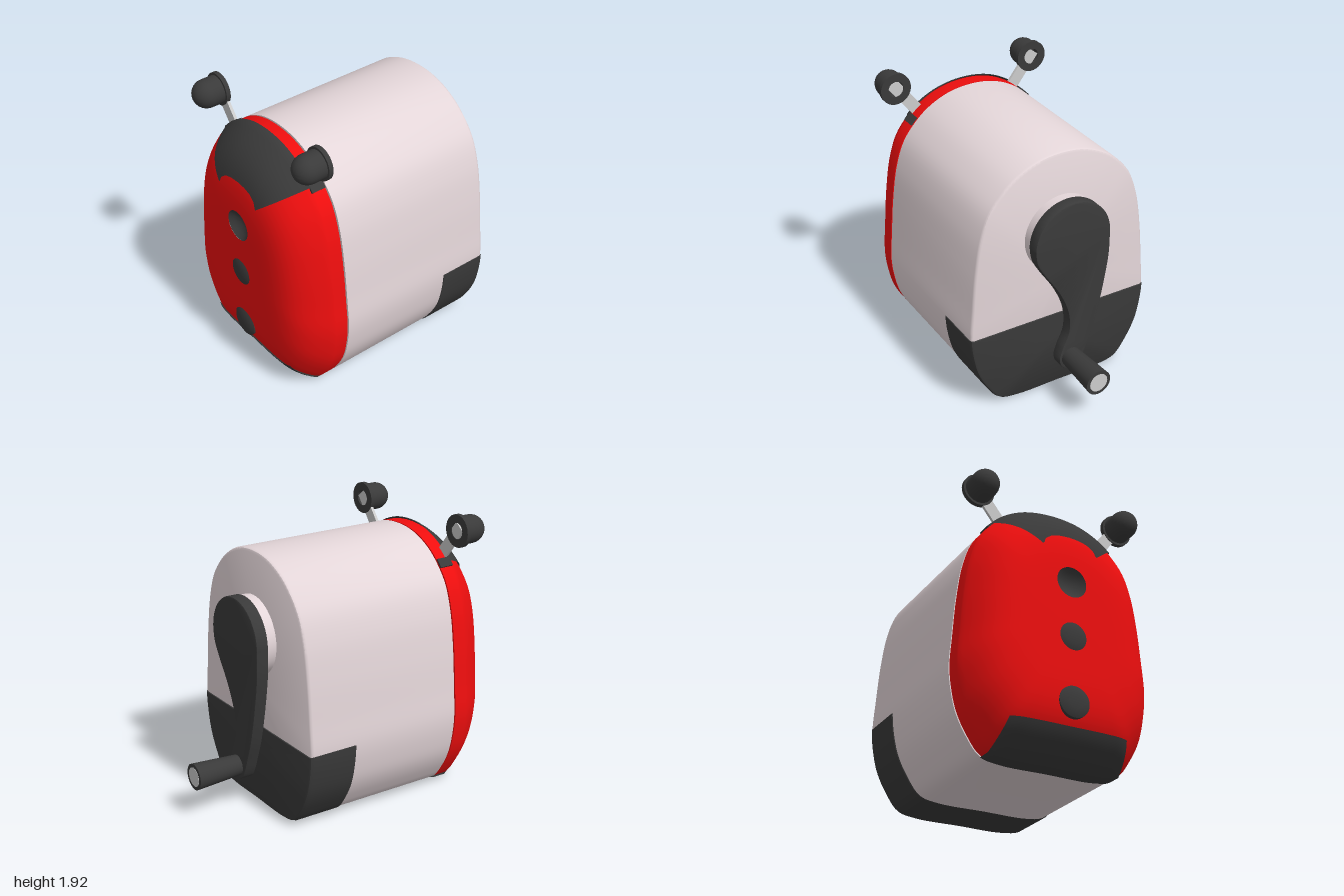
import * as THREE from 'three';
import { toCreasedNormals } from 'three/addons/utils/BufferGeometryUtils.js';

const V2 = (x, y) => new THREE.Vector2(x, y);
const mat = (color) => new THREE.MeshStandardMaterial({ color, side: THREE.DoubleSide });
const RED = mat(0xee0e0e), DARK = mat(0x3a3a3a), SHELL = mat(0xe4d6d9), GREY = mat(0xcccccc);
const CY = 0.85, HOLE = V2(0, 1.155), HOLE_R = 0.105;

// Egg-like outline shared by the body and the front, counter-clockwise from the bottom
const half = [[0.33, 0.006], [0.46, 0.035], [0.55, 0.145], [0.62, 0.28], [0.655, 0.42], [0.67, 0.57],
  [0.655, 0.78], [0.63, 1.05], [0.59, 1.29], [0.53, 1.46], [0.45, 1.568], [0.34, 1.665], [0.18, 1.74]];
const ring3 = [[0, 0.004], ...half, [0, 1.764], ...half.map(([x, y]) => [-x, y]).reverse()]
  .map(([x, y]) => new THREE.Vector3(x, y, 0));
const outline = new THREE.CatmullRomCurve3(ring3, true).getSpacedPoints(160).slice(0, 160).map((p) => V2(p.x, p.y));

// Surface from a rule: fn(column, row) gives a point
function grid(cols, rows, fn, crease = 0.7) {
  const pos = [], idx = [];
  for (let j = 0; j <= rows; j++) for (let i = 0; i <= cols; i++) pos.push(...fn(i, j));
  for (let j = 0; j < rows; j++) for (let i = 0; i < cols; i++) {
    const a = j * (cols + 1) + i, b = a + 1, c = a + cols + 1, d = c + 1;
    idx.push(a, b, d, a, d, c);
  }
  const g = new THREE.BufferGeometry();
  g.setAttribute('position', new THREE.Float32BufferAttribute(pos, 3));
  g.setIndex(idx);
  return toCreasedNormals(g, crease);
}

// Closed solid from one loop repeated along z; rings are [z, scale]
const loft = (pts, rings, cy = CY) => grid(pts.length, rings.length - 1, (i, j) => {
  const p = pts[i % pts.length], [z, s] = rings[j];
  return [p.x * s, cy + (p.y - cy) * s, z];
});

// Height of the domed front at a point
function domeZ(x, y) {
  const dx = x, dy = y - CY, len = Math.hypot(dx, dy);
  if (len < 1e-4) return 0.988;
  let reach = 1;
  outline.forEach((a, i) => {
    const b = outline[(i + 1) % outline.length], ex = b.x - a.x, ey = b.y - a.y;
    const den = dx * ey - dy * ex;
    if (Math.abs(den) < 1e-9) return;
    const t = (a.x * ey - (a.y - CY) * ex) / den, w = (a.x * dy - (a.y - CY) * dx) / den;
    if (t > 0 && w >= -1e-6 && w <= 1 + 1e-6) reach = t * len;
  });
  return 0.73 + 0.258 * (1 - Math.min(1, len / reach) ** 6);
}

// Dark panel hugging the dome, from an inner edge to the rim and then back to zBack
function panel(from, to, zBack) {
  const a = new THREE.Path(from), b = new THREE.Path(to), rows = 12;
  return grid(60, rows + 1, (i, j) => {
    const p = a.getPointAt(i / 60).lerp(b.getPointAt(i / 60), Math.min(1, j / rows));
    const z = j > rows ? zBack : domeZ(p.x, p.y) + 0.008;
    return [p.x * 1.007, CY + (p.y - CY) * 1.007, z];
  });
}

// Turned part whose axis is z; points are [radius, z]
function turned(points, seg = 40) {
  const g = new THREE.LatheGeometry(points.map(([r, z]) => V2(r, z)), seg);
  return toCreasedNormals(g.rotateX(Math.PI / 2), 0.6);
}

export function createModel() {
  const model = new THREE.Group();
  const add = (name, geo, material, x = 0, y = 0, z = 0) => {
    const m = new THREE.Mesh(geo, material);
    m.name = name;
    m.position.set(x, y, z);
    model.add(m);
    return m;
  };

  // Body with softened back edge, and the spacer behind the front
  add('body', loft(outline, [[-0.52, 0], [-0.52, 0.972], [-0.514, 0.988], [-0.5, 0.996], [0.63, 0.996], [0.63, 0]]), SHELL);
  add('spacer', loft(outline, [[0.62, 0], [0.62, 0.97], [0.65, 0.97], [0.65, 0]]), SHELL);

  // Dark boot around the lower back
  const low = outline.filter((p) => p.y < 0.565);
  const split = low.findIndex((p) => p.x < -0.3 && p.y > 0.4);
  low.splice(split, 0, V2(0.67, 0.568), V2(-0.67, 0.568));
  add('backBoot', loft(low, [[-0.526, 0], [-0.526, 0.97], [-0.52, 0.99], [-0.5, 1.004], [-0.18, 1.004], [-0.17, 0.985], [-0.17, 0]], 0.4), DARK);

  // Domed red front with a round opening
  const rows = 18;
  add('frontShell', grid(outline.length, rows + 2, (i, j) => {
    const p = outline[i % outline.length];
    if (j === 0) return [0, CY, 0.64];
    if (j === 1) return [p.x * 0.995, CY + (p.y - CY) * 0.995, 0.64];
    const rim = p.clone().sub(HOLE).setLength(HOLE_R).add(HOLE);
    const q = p.clone().lerp(rim, ((j - 2) / rows) ** 1.5);
    const s = j === 2 ? 0.995 : 1;
    return [q.x * s, CY + (q.y - CY) * s, domeZ(q.x, q.y)];
  }), RED);

  // Head panel with scalloped lower edge, and the foot panel
  const rimTop = outline.filter((p) => Math.abs(p.x) < 0.456 && p.y > 1).sort((a, b) => a.x - b.x);
  const scallop = [[-0.19, 1.38], [-0.175, 1.425], [-0.13, 1.46], [-0.07, 1.477], [0, 1.482],
    [0.07, 1.477], [0.13, 1.46], [0.175, 1.425], [0.19, 1.38]].map(([x, y]) => V2(x, y));
  add('headPanel', panel([rimTop[0], ...scallop, rimTop[rimTop.length - 1]], rimTop, 0.725), DARK);
  const rimLow = outline.filter((p) => Math.abs(p.x) < 0.47 && p.y < 0.5).sort((a, b) => b.x - a.x);
  add('footPanel', panel([V2(0.405, 0.205), V2(-0.405, 0.205)], rimLow, 0.64), DARK);

  // Pencil opening and two raised spots
  add('pencilOpening', turned([[0, -0.05], [0.04, -0.044], [0.08, -0.024], [0.106, 0.002]]), DARK, 0, HOLE.y, 0.984);
  for (const y of [0.78, 0.35]) {
    add('spot', turned([[0.105, -0.03], [0.105, -0.003], [0.085, 0.007], [0.05, 0.014], [0, 0.017]]), DARK, 0, y, 0.985);
  }

  // Feelers: flat stem, hollow-backed ball and the clip on the rim
  const ball = [[0, 0.75], [0.05, 0.75], [0.055, 0.71], [0.11, 0.71], [0.11, 0.74], [0.095, 0.74], [0.095, 0.82]];
  for (let k = 1; k <= 8; k++) {
    const a = (k / 8) * Math.PI / 2;
    ball.push([0.095 * Math.cos(a), 0.82 + 0.095 * Math.sin(a)]);
  }
  for (const s of [-1, 1]) {
    add('feelerBall', turned(ball, 32), DARK, s * 0.525, 1.81, 0);
    add('feelerStem', new THREE.BoxGeometry(0.085, 0.3, 0.02), GREY, s * 0.452, 1.725, 0.724).rotation.z = -s * 0.66;
    add('headClip', new THREE.BoxGeometry(0.065, 0.012, 0.1), DARK, s * 0.438, 1.58, 0.69).rotation.z = -s * 0.8;
  }

  // Crank hub
  add('hub', turned([[0, -0.6], [0.27, -0.6], [0.27, -0.51], [0, -0.51]], 48), SHELL, 0, 1.19, 0);

  // Crank arm: round head sweeping down to a narrow end
  const arm = new THREE.Shape();
  arm.moveTo(0.27, 1.19);
  arm.absarc(0, 1.19, 0.27, 0, Math.PI, false);
  arm.splineThru([[-0.265, 1.0], [-0.225, 0.75], [-0.175, 0.53], [-0.12, 0.37], [-0.085, 0.28], [-0.05, 0.225],
    [0, 0.207], [0.055, 0.23], [0.08, 0.29], [0.06, 0.37], [0.01, 0.5], [0.02, 0.66], [0.09, 0.83],
    [0.2, 1.0], [0.255, 1.1], [0.27, 1.19]].map(([x, y]) => V2(x, y)));
  const armGeo = new THREE.ExtrudeGeometry(arm, { depth: 0.069, curveSegments: 32, bevelSize: 0.008, bevelThickness: 0.008, bevelSegments: 2 });
  add('crankArm', toCreasedNormals(armGeo, 0.6), DARK, 0, 0, -0.662);

  // Tapered handle with a light end disc
  add('crankHandle', turned([[0.065, -0.998], [0.09, -0.998], [0.07, -0.66], [0, -0.66]], 32), DARK, 0, 0.295, 0);
  add('handleEnd', turned([[0, -1], [0.066, -1], [0.066, -0.97], [0, -0.97]], 32), GREY, 0, 0.295, 0);

  return model;
}
